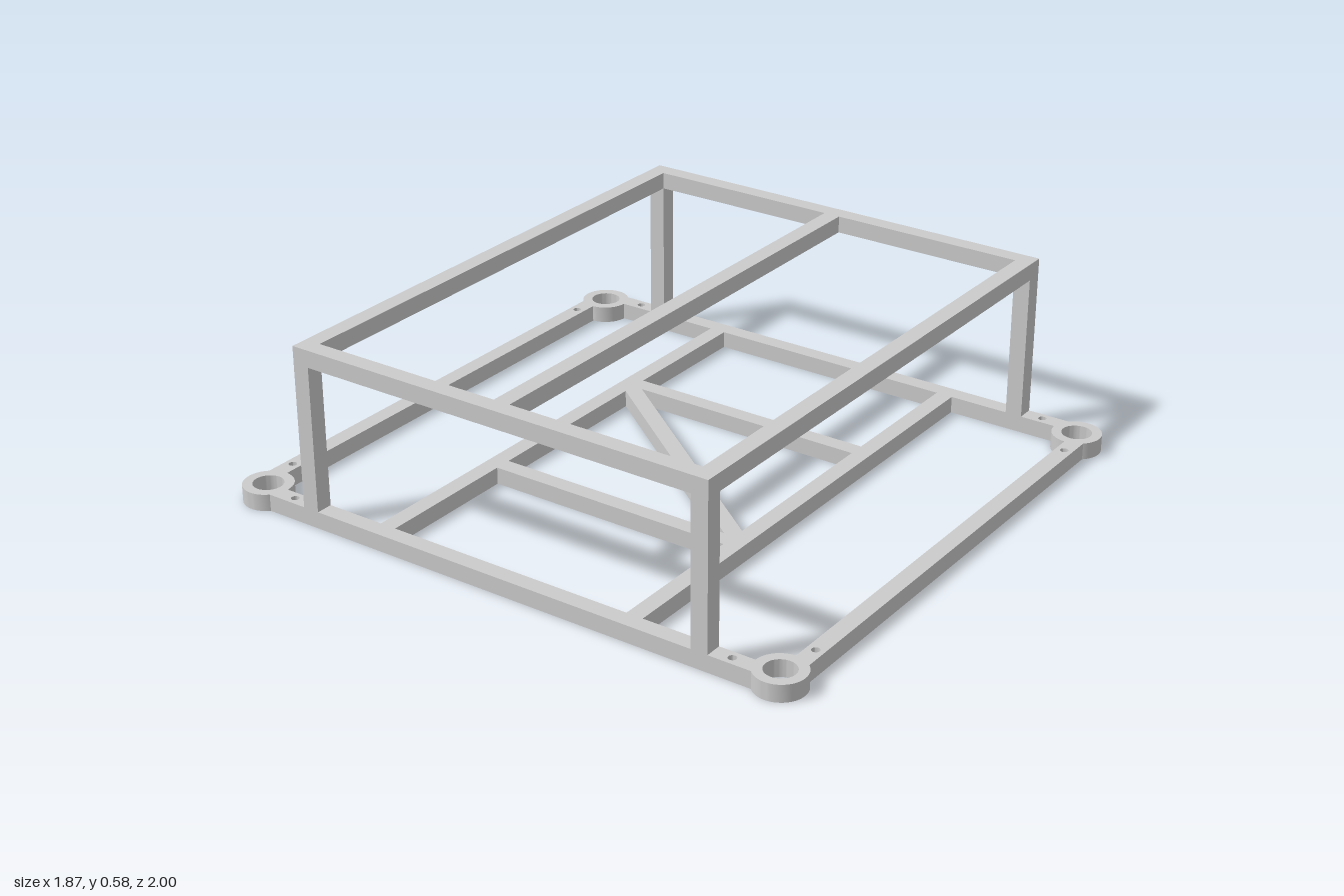
import * as THREE from 'three';
import { toCreasedNormals } from 'three/addons/utils/BufferGeometryUtils.js';

const T = 0.055;             // bar thickness
const TOP = 0.58;            // overall height
const RAIL_X = 0.881;        // centre line of the side rails
const INNER_X = RAIL_X - T / 2;
const POST_Z = 0.697;        // centre line of the posts
const CROSS_Z = 0.445;       // centre line of the lower cross bars
const LUG = { x: 0.854, z: 0.921, outer: 0.079, inner: 0.048 };

export function createModel() {
  const model = new THREE.Group();
  const material = new THREE.MeshStandardMaterial({ color: 0xcccccc });

  const add = (name, geometry, x = 0, y = 0, z = 0) => {
    const mesh = new THREE.Mesh(geometry, material);
    mesh.name = name;
    mesh.position.set(x, y, z);
    model.add(mesh);
  };
  const bar = (name, w, h, d, x, y, z) => add(name, new THREE.BoxGeometry(w, h, d), x, y, z);

  // Flat plate lying on the ground, drawn in x and z
  const plate = (shape) => {
    const g = new THREE.ExtrudeGeometry(shape, { depth: T, bevelEnabled: false, curveSegments: 32 });
    g.rotateX(Math.PI / 2).translate(0, T, 0);
    return toCreasedNormals(g, 0.6);
  };
  const polygon = (points) => new THREE.Shape(points.map(([x, z]) => new THREE.Vector2(x, z)));
  const drill = (shape, x, z, r) => shape.holes.push(new THREE.Path().absarc(x, z, r, 0, Math.PI * 2, true));
  const drilledRail = (halfX, halfZ, holes) => {
    const shape = polygon([[-halfX, -halfZ], [halfX, -halfZ], [halfX, halfZ], [-halfX, halfZ]]);
    holes.forEach(([x, z]) => drill(shape, x, z, 0.013));
    return plate(shape);
  };

  // Ring lugs at the four corners
  const ring = new THREE.Shape().absarc(0, 0, LUG.outer, 0, Math.PI * 2, false);
  drill(ring, 0, 0, LUG.inner);
  const lug = plate(ring);

  // Base perimeter with screw holes near the lugs
  const sideRail = drilledRail(T / 2, 0.865, [[0, -0.786], [0, 0.786]]);
  const endRail = drilledRail(0.8, T / 2, [[-0.72, 0], [0.72, 0]]);

  for (const s of [-1, 1]) {
    const side = s > 0 ? 'left' : 'right';
    const end = s > 0 ? 'front' : 'back';
    add(side + 'BaseRail', sideRail, s * RAIL_X);
    add(end + 'BaseRail', endRail, 0, 0, s * 0.946);

    // Lower cross bars and the two bars joining them
    bar(end + 'LowerCrossBar', INNER_X * 2, T, T, 0, T / 2, s * CROSS_Z);
    bar(side + 'InnerBar', T, T, CROSS_Z * 2 - T, s * 0.353, T / 2, 0);

    // Upper frame
    bar(side + 'TopRail', T, T, POST_Z * 2 + T, s * RAIL_X, TOP - T / 2, 0);
    bar(end + 'TopBar', INNER_X * 2, T, T, 0, TOP - T / 2, s * POST_Z);

    for (const e of [-1, 1]) {
      const corner = (e > 0 ? 'front' : 'back') + (s > 0 ? 'Left' : 'Right');
      add(corner + 'Lug', lug, s * LUG.x, 0, e * LUG.z);
      bar(corner + 'Post', T, TOP - 2 * T, T, s * RAIL_X, TOP / 2, e * POST_Z);
    }
  }
  bar('middleTopBar', INNER_X * 2, T, T, 0, TOP - T / 2, 0);

  // Diagonal brace, cut flush with the lower cross bars
  const z = CROSS_Z - T / 2, x = 0.318, w = 0.034;
  add('diagonalBrace', plate(polygon([[x - w, -z], [x + w, -z], [-x + w, z], [-x - w, z]])));

  return model;
}
